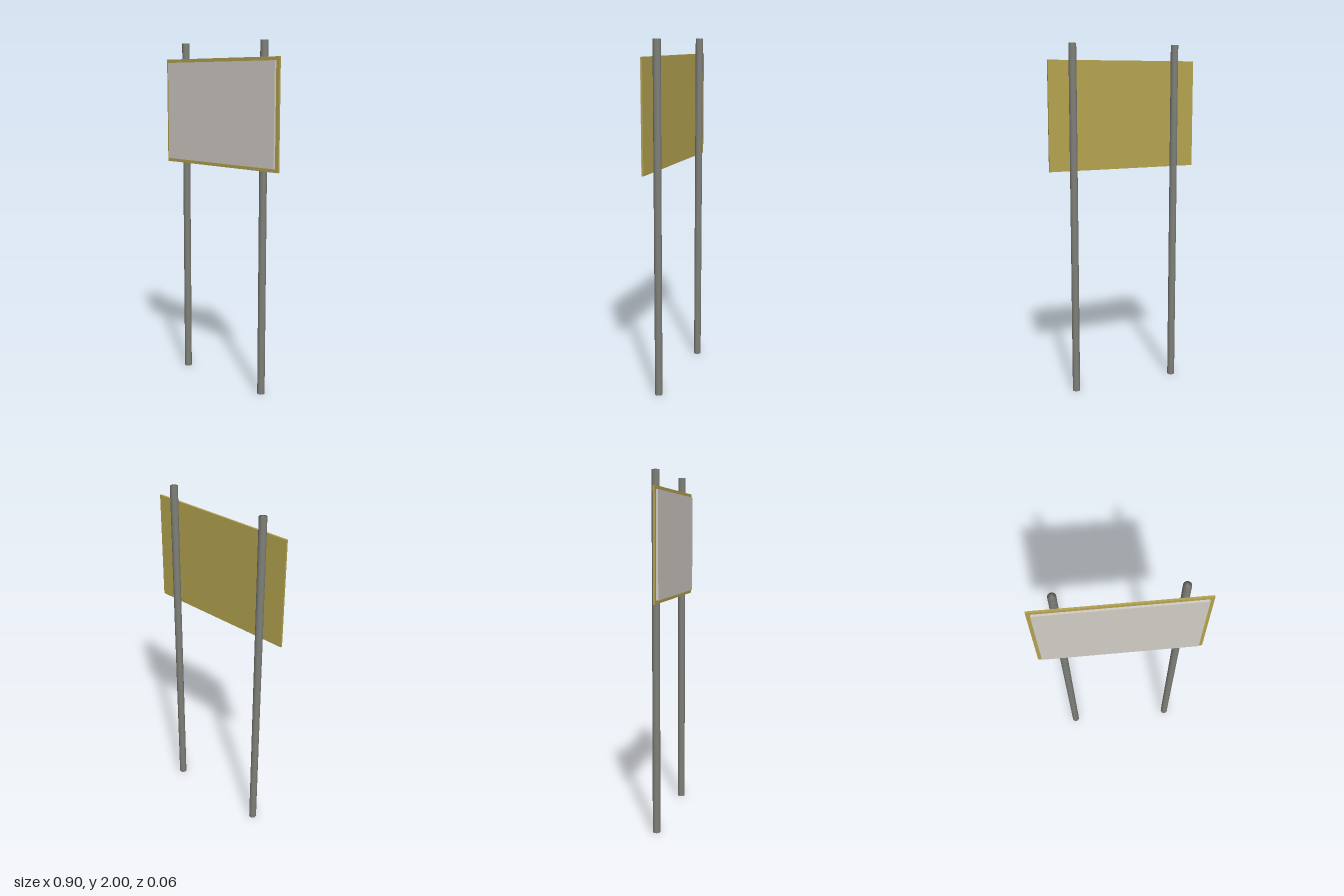
import * as THREE from 'three';
import { mergeVertices } from 'three/addons/utils/BufferGeometryUtils.js';

const paint = (color) => new THREE.MeshStandardMaterial({ color });

export function createModel() {
  const group = new THREE.Group();
  const postPaint = paint(0x80807a);

  // Box given by its width and its y and z ranges
  function slab(name, width, y0, y1, z0, z1, color) {
    const mesh = new THREE.Mesh(new THREE.BoxGeometry(width, y1 - y0, z1 - z0), paint(color));
    mesh.position.set(0, (y0 + y1) / 2, (z0 + z1) / 2);
    mesh.name = name;
    group.add(mesh);
  }

  // Round posts, with shading running smoothly over the end rims
  let postGeometry = new THREE.CylinderGeometry(0.0215, 0.0215, 2, 24);
  postGeometry.deleteAttribute('normal');
  postGeometry.deleteAttribute('uv');
  postGeometry = mergeVertices(postGeometry);
  postGeometry.computeVertexNormals();
  for (const side of [-1, 1]) {
    const post = new THREE.Mesh(postGeometry, postPaint);
    post.position.set(side * 0.314, 1, -0.0105);
    post.name = side > 0 ? 'leftPost' : 'rightPost';
    group.add(post);
  }

  // Backing board and the smaller face panel in front of it
  slab('backingBoard', 0.9, 1.298, 1.91, 0.01, 0.0205, 0xb5a350);
  slab('facePanel', 0.856, 1.318, 1.89, 0.0205, 0.032, 0xd2cec6);

  return group;
}
